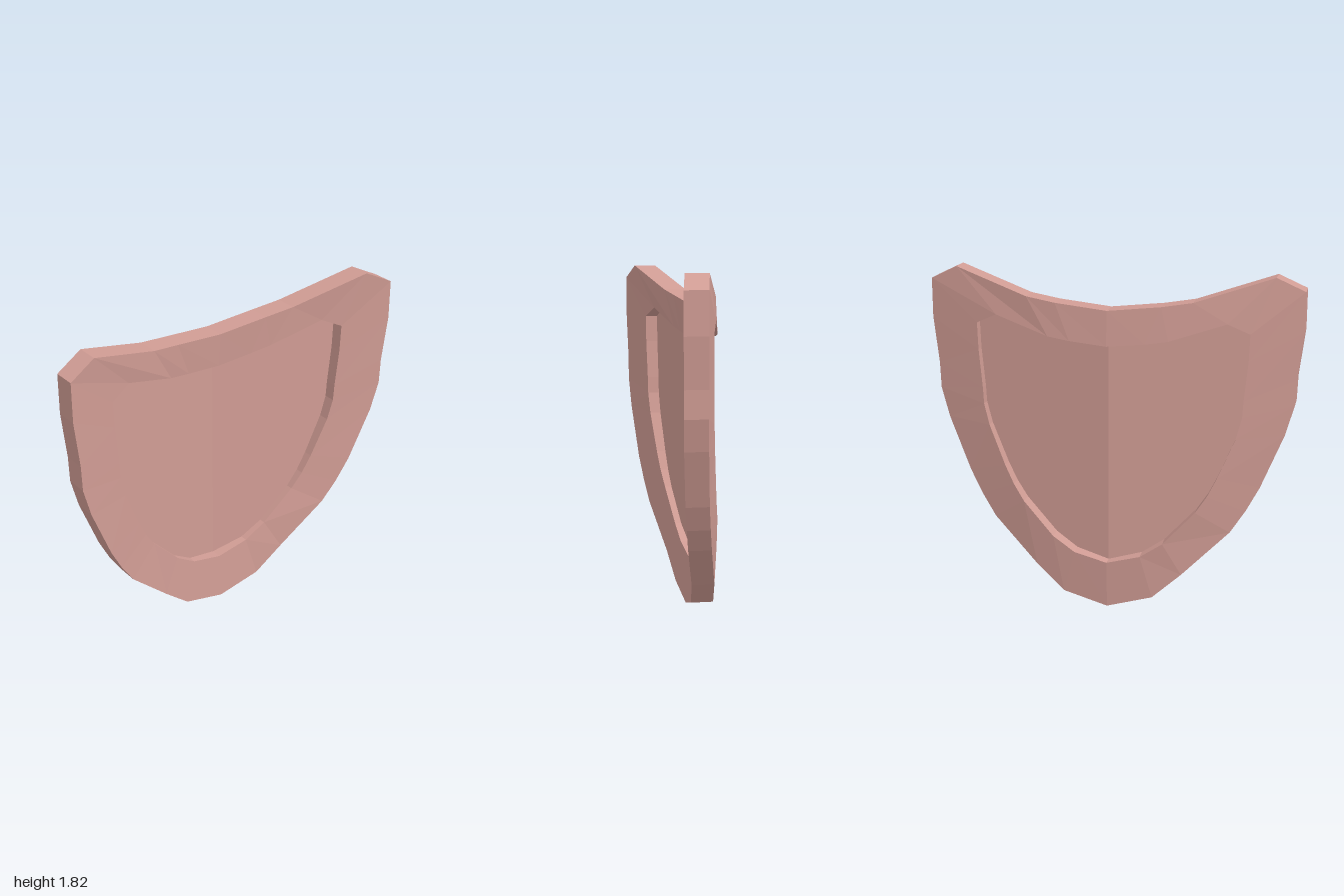
import * as THREE from 'three';

// Half outlines from top centre, round the +x side, to the bottom tip
const OUTER = [
  [0, 1.64], [0.28, 1.667], [0.44, 1.69], [0.85, 1.815], [1, 1.742], [1, 1.53], [0.97, 1.28], [0.965, 1.14],
  [0.92, 0.98], [0.8, 0.69], [0.73, 0.56], [0.65, 0.44], [0.4, 0.2], [0.245, 0.065], [0, 0],
];
const INNER = [
  [0, 1.455], [0.2, 1.473], [0.32, 1.49], [0.615, 1.58], [0.73, 1.525], [0.725, 1.38], [0.705, 1.17], [0.7, 1.08],
  [0.67, 0.965], [0.58, 0.75], [0.53, 0.65], [0.47, 0.56], [0.3, 0.38], [0.18, 0.302], [0, 0.258],
];
const THICKNESS = 0.12;

// Depth of the curved back surface, by distance from the centre line
const BEND = [[0, -0.145], [0.25, -0.13], [0.44, -0.1], [0.85, 0.01], [1, 0.04]];
function backZ(x) {
  const ax = Math.min(Math.abs(x), 1);
  const i = Math.max(1, BEND.findIndex(([bx]) => bx >= ax));
  const [x0, z0] = BEND[i - 1], [x1, z1] = BEND[i];
  return z0 + ((z1 - z0) * (ax - x0)) / (x1 - x0);
}

// Closed loop: the half outline plus its mirror image
const fullLoop = (half) => [...half, ...half.slice(1, -1).reverse().map(([x, y]) => [-x, y])];

// Rim: a four-sided section swept round the loop
function rimGeometry() {
  const outer = fullLoop(OUTER), inner = fullLoop(INNER);
  const place = (loop, dz) => loop.map(([x, y]) => [x, y, backZ(x) + dz]);
  const sink = -0.015;
  const rings = [
    place(outer, THICKNESS), place(inner, THICKNESS + sink),
    place(inner, sink), place(outer, 0),
  ];
  const pos = [];
  const n = outer.length;
  for (let k = 0; k < 4; k++) {
    const r0 = rings[k], r1 = rings[(k + 1) % 4];
    for (let i = 0; i < n; i++) {
      const j = (i + 1) % n;
      pos.push(...r0[i], ...r1[i], ...r1[j], ...r0[i], ...r1[j], ...r0[j]);
    }
  }
  const g = new THREE.BufferGeometry();
  g.setAttribute('position', new THREE.Float32BufferAttribute(pos, 3));
  g.computeVertexNormals();
  return g;
}

// Panel half: a flat sheet tilted away from the centre fold
function panelGeometry(side) {
  const shape = new THREE.Shape(INNER.map(([x, y]) => new THREE.Vector2(x * side, y)));
  const g = new THREE.ShapeGeometry(shape);
  const p = g.attributes.position;
  for (let i = 0; i < p.count; i++) p.setZ(i, -0.1 + 0.16 * Math.abs(p.getX(i)));
  g.computeVertexNormals();
  return g;
}

export function createModel() {
  const group = new THREE.Group();
  group.name = 'shield';
  const color = 0xd09c94;
  const rimMaterial = new THREE.MeshStandardMaterial({ color, flatShading: true });
  const panelMaterial = new THREE.MeshStandardMaterial({ color, flatShading: true, side: THREE.DoubleSide });

  const rim = new THREE.Mesh(rimGeometry(), rimMaterial);
  rim.name = 'rim';
  group.add(rim);

  for (const [name, side] of [['leftPanel', 1], ['rightPanel', -1]]) {
    const panel = new THREE.Mesh(panelGeometry(side), panelMaterial);
    panel.name = name;
    group.add(panel);
  }
  return group;
}
